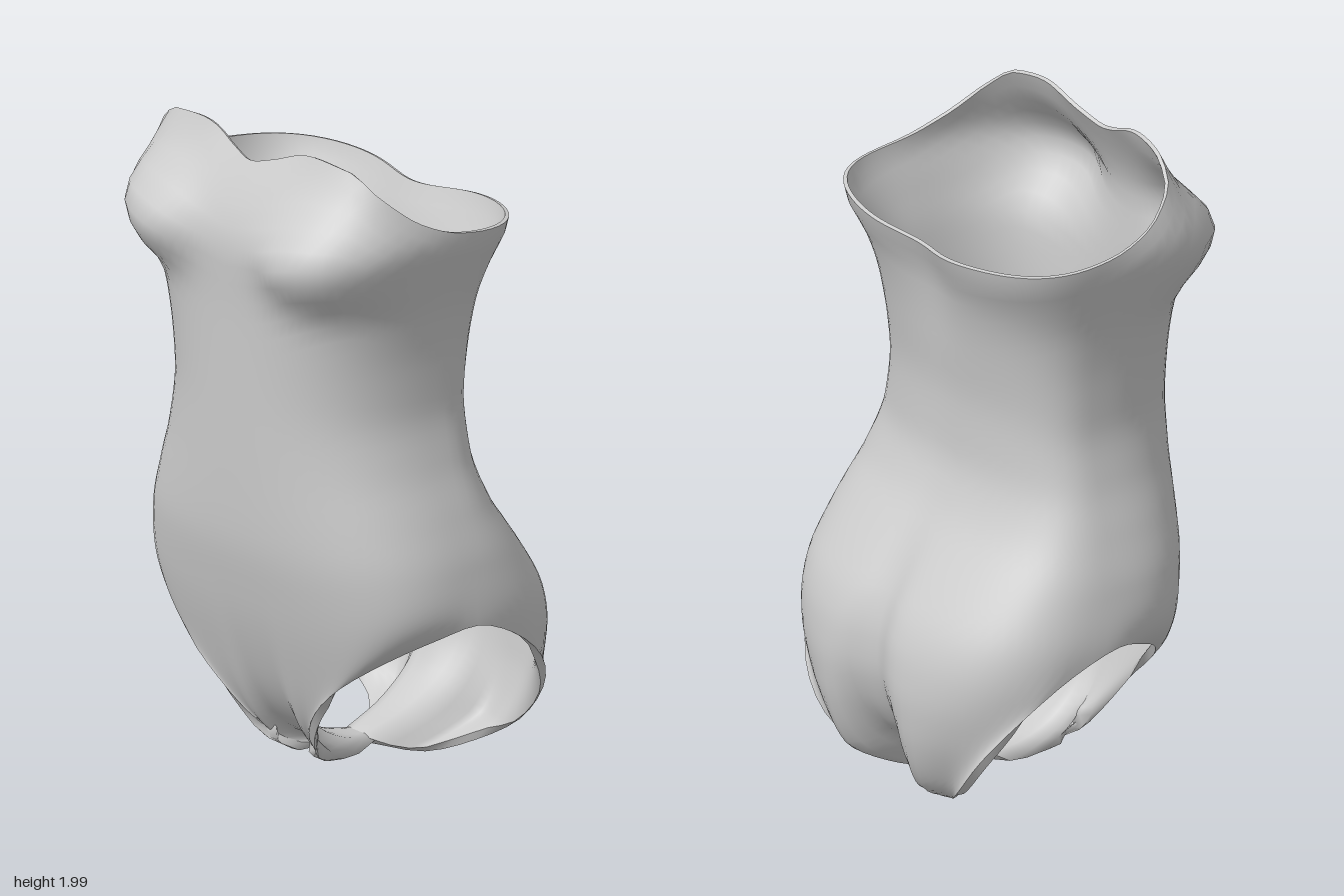
import * as THREE from 'three';

const HALF = 48, ROWS = 46;

// Smooth lookup in a table of [key, value] pairs
function lookup(table, k) {
  const n = table.length;
  if (k <= table[0][0]) return table[0][1];
  if (k >= table[n - 1][0]) return table[n - 1][1];
  let i = 0;
  while (k > table[i + 1][0]) i++;
  const slope = (p, q) => (table[q][1] - table[p][1]) / (table[q][0] - table[p][0]);
  const tangent = (m) => {
    if (m === 0 || m === n - 1) return 0;
    const s0 = slope(m - 1, m), s1 = slope(m, m + 1);
    return s0 * s1 <= 0 ? 0 : (2 * s0 * s1) / (s0 + s1);
  };
  const h = table[i + 1][0] - table[i][0], t = (k - table[i][0]) / h;
  const t2 = t * t, t3 = t2 * t;
  return (2 * t3 - 3 * t2 + 1) * table[i][1] + (t3 - 2 * t2 + t) * h * tangent(i)
    + (3 * t2 - 2 * t3) * table[i + 1][1] + (t3 - t2) * h * tangent(i + 1);
}

// Body measurements by height
const halfWidth = [[0, 0.12], [0.1, 0.27], [0.2, 0.385], [0.3, 0.475], [0.4, 0.545], [0.5, 0.59], [0.6, 0.605],
  [0.75, 0.585], [0.9, 0.54], [1.05, 0.49], [1.22, 0.46], [1.35, 0.463], [1.5, 0.48], [1.65, 0.52], [1.76, 0.55], [1.9, 0.51], [2, 0.49]];
const frontDepth = [[0.045, 0.06], [0.06, 0.12], [0.08, 0.17], [0.12, 0.22], [0.2, 0.265], [0.4, 0.325], [0.6, 0.375],
  [0.8, 0.41], [1, 0.42], [1.5, 0.435], [1.7, 0.445], [1.8, 0.415], [1.9, 0.365], [2, 0.315]];
const backDepth = [[0, 0.25], [0.03, 0.33], [0.1, 0.41], [0.2, 0.46], [0.3, 0.487], [0.4, 0.498], [0.5, 0.49], [0.6, 0.46],
  [0.7, 0.4], [0.8, 0.33], [0.9, 0.265], [1.05, 0.22], [1.2, 0.217], [1.4, 0.242], [1.6, 0.29], [1.74, 0.345]];
const frontSquareness = [[0, 2.5], [0.3, 2.8], [0.7, 2.7], [1.2, 2.5], [1.5, 2.8], [1.75, 3.5], [2, 4.5]];
const backSquareness = [[0, 2.5], [0.3, 3], [0.7, 2.8], [1.1, 2.4], [1.5, 2.5], [1.75, 2.9]];
const crease = [[0.05, 0.22], [0.1, 0.15], [0.2, 0.08], [0.4, 0.055], [0.6, 0.045], [0.9, 0.008], [1.3, 0.01], [1.75, 0.04]];
const creaseWidth = [[0.7, 0.085], [1.2, 0.15]];
const thickness = [[0.3, 0.025], [0.8, 0.012]];
// Neckline height by angle from the front
const neckline = [[0, 1.935], [14, 1.955], [38, 2], [52, 1.985], [62, 1.915], [75, 1.83], [90, 1.775], [105, 1.757], [130, 1.745], [180, 1.715]];

// Leg edge of the left side, from the crotch up the front and down the back
const edgePoints = [[0.04, 0.05, -0.08], [0.06, 0.065, 0.09], [0.11, 0.145, 0.21], [0.21, 0.27, 0.28], [0.33, 0.38, 0.29],
  [0.46, 0.48, 0.22], [0.56, 0.55, 0.11], [0.605, 0.58, 0], [0.595, 0.52, -0.15], [0.55, 0.4, -0.3], [0.46, 0.26, -0.385],
  [0.35, 0.13, -0.39], [0.23, 0.05, -0.33], [0.12, 0.008, -0.23], [0.04, 0.05, -0.08]].map((p) => new THREE.Vector3(...p));
const legEdge = new THREE.CatmullRomCurve3(edgePoints, false, 'centripetal');
const crotch = new THREE.Vector3(0, 0.05, -0.08);

function lowerEnd(u) {
  if (u < 1) return crotch.clone().lerp(edgePoints[0], u);
  if (u > 15) return crotch.clone().lerp(edgePoints[0], 16 - u);
  return legEdge.getPoint((u - 1) / 14);
}

// Torso surface at an angle and height
function body(phi, y) {
  const s = Math.sin(phi), c = Math.cos(phi), front = c > 0;
  const n = lookup(front ? frontSquareness : backSquareness, y);
  const depth = lookup(front ? frontDepth : backDepth, y);
  const r = Math.pow(Math.pow(Math.abs(s) / lookup(halfWidth, y), n) + Math.pow(Math.abs(c) / depth, n), -1 / n);
  const x = r * s;
  let z = r * c;
  if (front) {
    const dx = (x - 0.36) / 0.2, dy = (y - 1.7) / (y < 1.7 ? 0.125 : 0.14);
    z += 0.08 * Math.exp(-Math.pow(dx * dx + dy * dy, 1.5)) * Math.min(1, c * 2.5);
  } else {
    z += lookup(crease, y) * Math.exp(-Math.pow(x / lookup(creaseWidth, y), 2)) * Math.min(1, -c * 2);
  }
  return new THREE.Vector3(x, y, z);
}

// One column of cloth from the neckline down to the leg edge
function column(i) {
  const f = i / HALF, phi = Math.PI * f, end = lowerEnd(16 * f);
  const top = lookup(neckline, 180 * f);
  const shift = end.clone().sub(body(phi, end.y));
  const points = [];
  for (let j = 0; j <= ROWS; j++) {
    const y = end.y + (top - end.y) * Math.pow(1 - j / ROWS, 1.5);
    const t = Math.max(0, (0.95 - y) / (0.95 - end.y));
    points.push(body(phi, y).addScaledVector(shift, Math.pow(t, 6)));
  }
  return points;
}

function makeGeometry(positions, index) {
  const g = new THREE.BufferGeometry();
  g.setAttribute('position', new THREE.Float32BufferAttribute(positions, 3));
  g.setIndex(index);
  g.computeVertexNormals();
  return g;
}

export function createModel() {
  const group = new THREE.Group();
  group.name = 'bodysuit';
  const material = new THREE.MeshStandardMaterial({ color: 0xcccccc, side: THREE.DoubleSide, roughness: 0.8 });
  const add = (name, geometry) => {
    const mesh = new THREE.Mesh(geometry, material);
    mesh.name = name;
    group.add(mesh);
  };

  // Outer cloth, with the right half mirrored from the left
  const half = [];
  for (let i = 0; i <= HALF; i++) half.push(column(i));
  const COLS = HALF * 2, W = ROWS + 1;
  const outer = [], outerIndex = [], innerIndex = [];
  for (let k = 0; k < COLS; k++) {
    const mirrored = k > HALF;
    for (const p of half[mirrored ? COLS - k : k]) outer.push(mirrored ? -p.x : p.x, p.y, p.z);
    for (let j = 0; j < ROWS; j++) {
      const a = k * W + j, b = ((k + 1) % COLS) * W + j;
      outerIndex.push(a, a + 1, b, b, a + 1, b + 1);
      innerIndex.push(a, b, a + 1, b, b + 1, a + 1);
    }
  }
  const outerGeometry = makeGeometry(outer, outerIndex);
  add('outerCloth', outerGeometry);

  // Lining, offset inward by the cloth thickness
  const normals = outerGeometry.attributes.normal.array;
  const inner = outer.map((v, i) => v - normals[i] * lookup(thickness, outer[i - (i % 3) + 1]));
  add('lining', makeGeometry(inner, innerIndex));

  // Hems closing the gap between cloth and lining
  const hem = (name, row, from, to) => {
    const pos = [], idx = [];
    for (let k = from; k <= to; k++) {
      const o = ((k % COLS) * W + row) * 3;
      pos.push(...outer.slice(o, o + 3), ...inner.slice(o, o + 3));
      const v = (k - from) * 2;
      if (k < to) {
        if (row === 0) idx.push(v, v + 2, v + 1, v + 1, v + 2, v + 3);
        else idx.push(v, v + 1, v + 2, v + 1, v + 3, v + 2);
      }
    }
    add(name, makeGeometry(pos, idx));
  };
  const seam = HALF / 16;
  hem('neckHem', 0, 0, COLS);
  hem('leftLegHem', ROWS, seam, HALF - seam);
  hem('rightLegHem', ROWS, HALF + seam, COLS - seam);
  return group;
}
